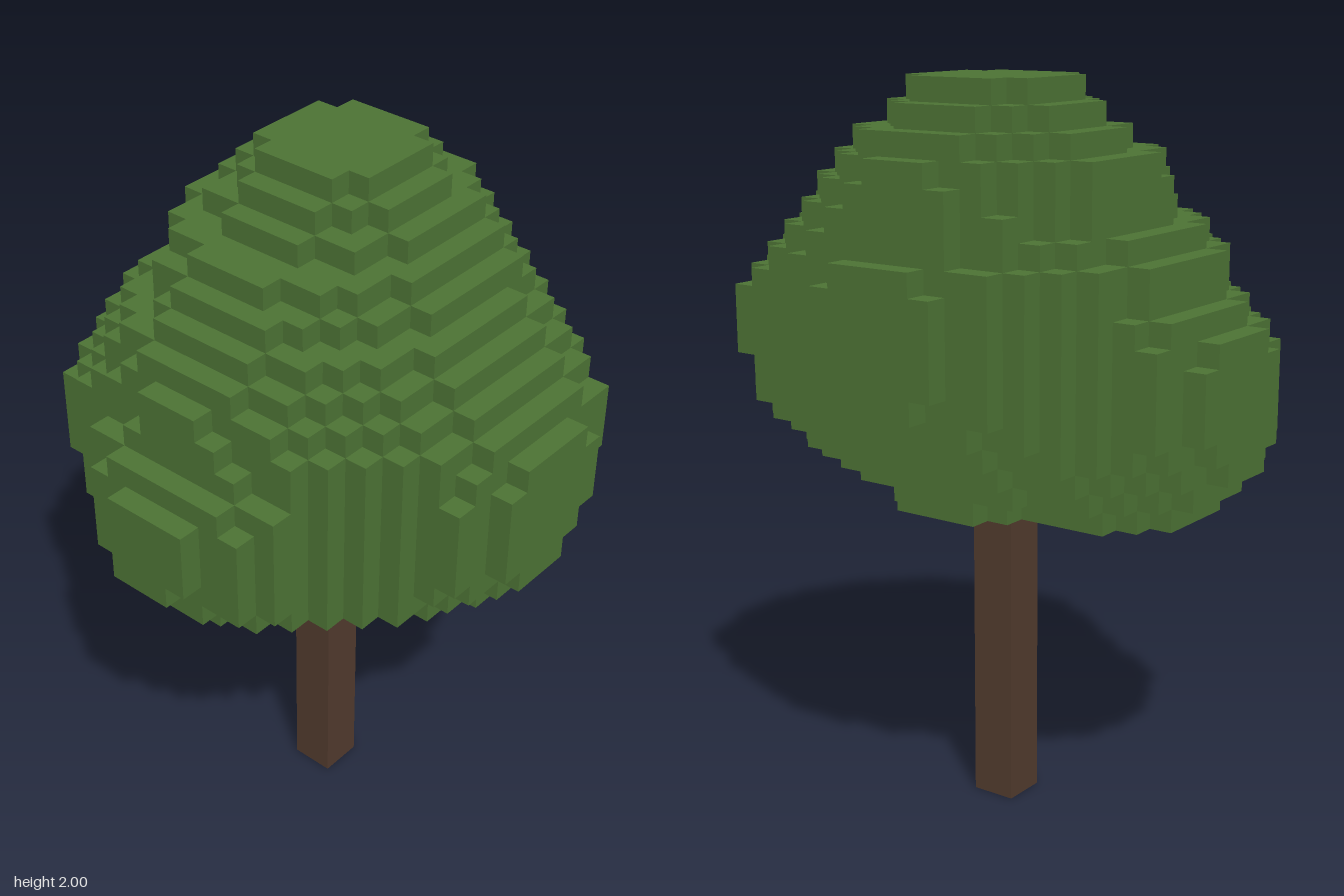
import * as THREE from 'three';

const UNIT = 1 / 16; // edge length of one block

// Canopy layers from bottom (block row 15) to top (row 31): [x min, x max, z min, z max]
const FIRST_LAYER = 15;
const LAYERS = [
  [-10, 9, -6, 8], [-10.7, 10, -7, 9], [-11, 10.8, -8, 9.7], [-11, 11, -9, 9.75],
  [-11, 11, -9.6, 9.75], [-11, 11, -9.8, 9.7], [-10.7, 11, -10, 8.8], [-10, 10.7, -10, 8],
  [-9, 10, -9.8, 7.75], [-9, 9, -9.6, 7.6], [-8, 8, -9, 7], [-7, 7, -9, 6],
  [-7, 6, -8.8, 5], [-7, 5, -8.7, 4], [-6, 4, -8, 2], [-5, 3, -7, 1], [-4, 2, -6, 0],
];

// Plan outline of the canopy, one [x min, x max] per row from z = -10 to z = 9
const PLAN = [
  [-3, 3], [-5, 5], [-6, 8], [-7, 10], [-8, 10], [-10, 11], [-10, 11], [-11, 11], [-11, 11], [-11, 11],
  [-11, 11], [-11, 10], [-11, 10], [-10, 8], [-10, 7], [-8, 6], [-5, 5], [-5, 5], [-4, 4], [-2, 2],
];

// Lobes hanging under the canopy in row 14: [centre x, centre z, radius x, radius z]
const LOBES = [[-5, 0, 4, 4], [-1, 3, 4, 4], [0, -3, 3, 3], [5, -2, 1.2, 1.2]];

function isLeaf(x, y, z) {
  const px = x + 0.5, pz = z + 0.5;
  if (y === 13) return z === 0 && x >= -6 && x < -4; // small drooping tuft
  if (y === 14) return LOBES.some(([cx, cz, rx, rz]) => ((px - cx) / rx) ** 2 + ((pz - cz) / rz) ** 2 < 1);
  const layer = LAYERS[y - FIRST_LAYER];
  const row = PLAN[z + 10];
  if (!layer || !row || px < row[0] || px > row[1]) return false;
  // Lopsided ellipse around an axis that leans towards the crown, skewed in plan
  const lean = Math.max(0, (y - 20) / 11);
  const cx = -lean;
  const cz = -1 - 2 * lean - 0.1 * (1 - lean) * (px - cx);
  const rx = px < cx ? cx - layer[0] : layer[1] - cx;
  const rz = pz < cz ? cz - layer[2] : layer[3] - cz;
  // Left side: full shoulder at the back, a valley between the lobes low down
  const power = px < cx ? 2 : (pz < cz ? 2.4 : 2) - 0.6 * Math.max(0, (20 - y) / 5);
  return Math.abs((px - cx) / rx) ** power + Math.abs((pz - cz) / rz) ** power < 1;
}

// Outer faces of all the leaf blocks
function leafGeometry() {
  const positions = [];
  const corners = [[0, 0], [1, 0], [1, 1], [0, 0], [1, 1], [0, 1]];
  const addFace = (cell, axis, side) => {
    const u = (axis + 1) % 3, v = (axis + 2) % 3;
    for (const [a, b] of corners) {
      const p = [...cell];
      p[axis] += side;
      p[u] += side ? a : b; // swapped on the far side to face outwards
      p[v] += side ? b : a;
      positions.push(p[0] * UNIT, p[1] * UNIT, p[2] * UNIT);
    }
  };
  for (let y = 13; y < 32; y++) {
    for (let z = -10; z < 10; z++) {
      for (let x = -11; x < 11; x++) {
        if (!isLeaf(x, y, z)) continue;
        for (let axis = 0; axis < 3; axis++) {
          for (const side of [0, 1]) {
            const next = [x, y, z];
            next[axis] += side ? 1 : -1;
            if (!isLeaf(...next)) addFace([x, y, z], axis, side);
          }
        }
      }
    }
  }
  const geometry = new THREE.BufferGeometry();
  geometry.setAttribute('position', new THREE.Float32BufferAttribute(positions, 3));
  geometry.computeVertexNormals();
  return geometry;
}

export function createModel() {
  const leafGreen = new THREE.MeshStandardMaterial({ name: 'leafGreen', color: 0x4c7234 });
  const barkBrown = new THREE.MeshStandardMaterial({ name: 'barkBrown', color: 0x503a2d });

  const tree = new THREE.Group();
  tree.name = 'tree';

  // Square trunk, set slightly behind the middle
  const trunk = new THREE.Mesh(new THREE.BoxGeometry(2 * UNIT, 14 * UNIT, 2 * UNIT), barkBrown);
  trunk.name = 'trunk';
  trunk.position.set(0, 7 * UNIT, -UNIT);

  // Blocky canopy
  const canopy = new THREE.Mesh(leafGeometry(), leafGreen);
  canopy.name = 'canopy';

  tree.add(trunk, canopy);
  return tree;
}
